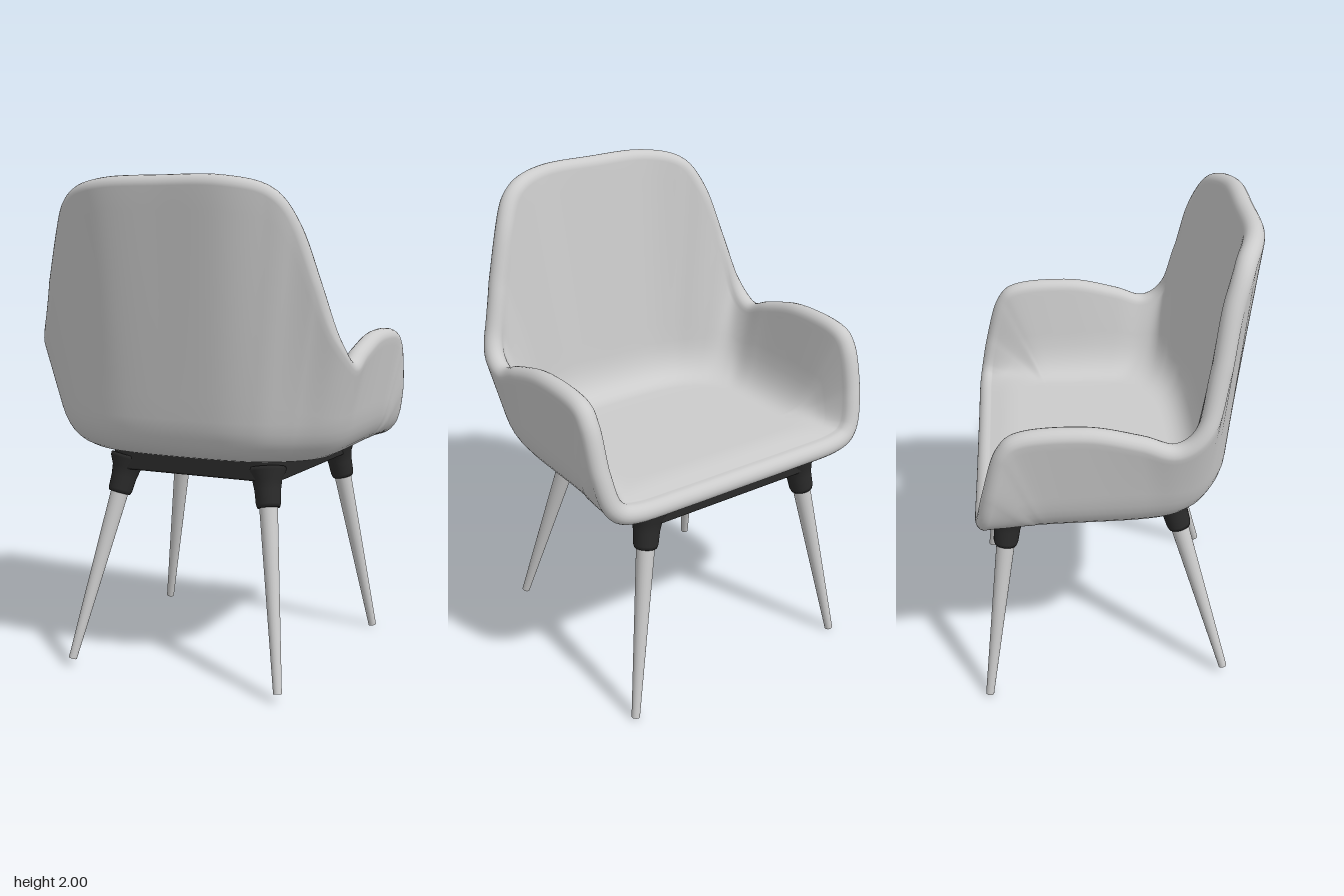
import * as THREE from 'three';

const V = (x, y, z) => new THREE.Vector3(x, y, z);
const grey = new THREE.MeshStandardMaterial({ color: 0xcccccc });
const dark = new THREE.MeshStandardMaterial({ color: 0x2a2a2a });

// Half of the shell, from the middle of the back round to the middle of the front:
// rim crest x, y, z, then the foot of the wall x, z
const STATIONS = [
  [0, 2.0, 0.525, 0, 0.455],
  [0.25, 1.995, 0.52, 0.19, 0.45],
  [0.42, 1.95, 0.46, 0.31, 0.435],
  [0.51, 1.82, 0.405, 0.39, 0.41],
  [0.58, 1.6, 0.36, 0.46, 0.37],
  [0.63, 1.4, 0.305, 0.53, 0.31],
  [0.638, 1.31, 0.21, 0.585, 0.22],
  [0.635, 1.35, 0.08, 0.605, 0.1],
  [0.633, 1.395, -0.12, 0.61, -0.08],
  [0.63, 1.385, -0.36, 0.61, -0.23],
  [0.63, 1.31, -0.455, 0.61, -0.28],
  [0.62, 1.13, -0.51, 0.6, -0.32],
  [0.585, 0.99, -0.54, 0.56, -0.39],
  [0.49, 0.942, -0.55, 0.48, -0.44],
  [0.27, 0.935, -0.55, 0.27, -0.45],
  [0, 0.935, -0.55, 0, -0.45],
];
const BOTTOM = 0.9, FLOOR = 0.98, RIM = 0.04;

// Rounded corner: straight from a towards the corner, then a curve into b
function corner(a, c, b, straight, curved) {
  const p = c.clone().lerp(a, Math.min(0.5, 0.17 / c.distanceTo(a)));
  const pts = [];
  for (let i = 0; i < straight; i++) pts.push(a.clone().lerp(p, i / straight));
  const bend = new THREE.QuadraticBezierCurve3(p, c, b);
  return pts.concat(bend.getPoints(curved));
}

// One radial section: underside, outer wall, round rim, inner wall, seat
function section(rim, tangent, foot) {
  const up = rim.clone().sub(foot);
  const out = tangent.clone().cross(up).normalize();
  const crest = out.clone().cross(tangent).normalize();
  const mid = rim.clone().addScaledVector(crest, -RIM);
  const arc = [];
  for (let i = 0; i <= 10; i++) {
    const a = (i / 10) * Math.PI;
    arc.push(mid.clone().addScaledVector(out, Math.cos(a) * RIM).addScaledVector(crest, Math.sin(a) * RIM));
  }
  const inset = (k, y) => V(foot.x * k, y, -0.2 + (foot.z + 0.2) * k);
  const outer = corner(arc[0], foot, inset(0.8, BOTTOM), 10, 8).reverse();
  const inner = corner(arc[10], inset(0.86, FLOOR), inset(0.68, FLOOR), 10, 8);
  const under = [0, 0.35, 0.7].map(k => V(0, BOTTOM, -0.1).lerp(outer[0], k));
  const seat = [0.3, 0.65, 1].map(k => inner[inner.length - 1].clone().lerp(V(0, FLOOR, -0.1), k));
  return [...under, ...outer.slice(0, -1), ...arc, ...inner.slice(1), ...seat];
}

function shellGeometry() {
  const mirror = STATIONS.slice(1, -1).reverse().map(([x, y, z, fx, fz]) => [-x, y, z, -fx, fz]);
  const loop = [...STATIONS, ...mirror];
  const rim = new THREE.CatmullRomCurve3(loop.map(s => V(s[0], s[1], s[2])), true, 'catmullrom', 0.5);
  const foot = new THREE.CatmullRomCurve3(loop.map(s => V(s[3], BOTTOM + 0.005, s[4])), true, 'catmullrom', 0.5);
  const n = 240, pos = [], index = [];
  let m = 0;
  for (let i = 0; i < n; i++) {
    const s = section(rim.getPoint(i / n), rim.getTangent(i / n), foot.getPoint(i / n));
    m = s.length;
    s.forEach(p => pos.push(p.x, p.y, p.z));
  }
  for (let i = 0; i < n; i++) {
    for (let j = 0; j < m - 1; j++) {
      const a = i * m + j, b = ((i + 1) % n) * m + j;
      index.push(a, b, a + 1, b, b + 1, a + 1);
    }
  }
  const g = new THREE.BufferGeometry();
  g.setAttribute('position', new THREE.Float32BufferAttribute(pos, 3));
  g.setIndex(index);
  g.computeVertexNormals();
  return g;
}

// Trapezoid with rounded corners, in x and z
function trapezoid(target, backX, backZ, frontX, frontZ, r) {
  const c = [[backX, backZ], [frontX, frontZ], [-frontX, frontZ], [-backX, backZ]].map(p => new THREE.Vector2(...p));
  c.forEach((p, i) => {
    const toward = q => p.clone().add(q.clone().sub(p).setLength(r));
    const a = toward(c[(i + 3) % 4]), b = toward(c[(i + 1) % 4]);
    if (i === 0) target.moveTo(a.x, a.y); else target.lineTo(a.x, a.y);
    target.quadraticCurveTo(p.x, p.y, b.x, b.y);
  });
  target.closePath();
  return target;
}

// Aligns a geometry built along y with the line from a to b
function along(mesh, a, b) {
  mesh.position.copy(a);
  mesh.quaternion.setFromUnitVectors(V(0, 1, 0), b.clone().sub(a).normalize());
  return mesh;
}

export function createModel() {
  const model = new THREE.Group();
  const add = (name, geometry, material) => {
    const mesh = new THREE.Mesh(geometry, material);
    mesh.name = name;
    model.add(mesh);
    return mesh;
  };

  // Upholstered shell: seat, back and arms in one piece
  add('seatShell', shellGeometry(), grey);

  // Open frame under the seat
  const ring = trapezoid(new THREE.Shape(), 0.375, 0.295, 0.43, -0.485, 0.09);
  ring.holes.push(trapezoid(new THREE.Path(), 0.27, 0.19, 0.31, -0.38, 0.06));
  const frame = new THREE.ExtrudeGeometry(ring, {
    depth: 0.07, bevelThickness: 0.008, bevelSize: 0.008, bevelOffset: -0.008, bevelSegments: 2, curveSegments: 8,
  });
  frame.rotateX(Math.PI / 2);
  add('underFrame', frame, dark).position.y = 0.898;

  // Splayed tapered legs in flared sockets
  const legs = [
    ['backLeg', V(0.46, 0.035, 0.47), V(0.313, 0.85, 0.235)],
    ['frontLeg', V(0.523, 0.006, -0.543), V(0.378, 0.85, -0.425)],
  ];
  const flare = [[0, 0], [0.045, 0], [0.05, 0.015], [0.053, 0.07], [0.06, 0.11], [0.078, 0.145], [0.078, 0.16], [0, 0.16]]
    .map(p => new THREE.Vector2(...p));
  for (const [name, foot, top] of legs) {
    for (const side of [1, -1]) {
      const a = foot.clone().setX(foot.x * side), b = top.clone().setX(top.x * side);
      const tag = side > 0 ? 'Left' : 'Right';
      const length = a.distanceTo(b);
      const leg = new THREE.CylinderGeometry(0.041, 0.017, length, 24).translate(0, length / 2, 0);
      along(add(name + tag, leg, grey), a, b);
      const start = a.clone().lerp(b, (0.715 - a.y) / (b.y - a.y));
      along(add(name + 'Socket' + tag, new THREE.LatheGeometry(flare, 24), dark), start, b);
    }
  }
  return model;
}
